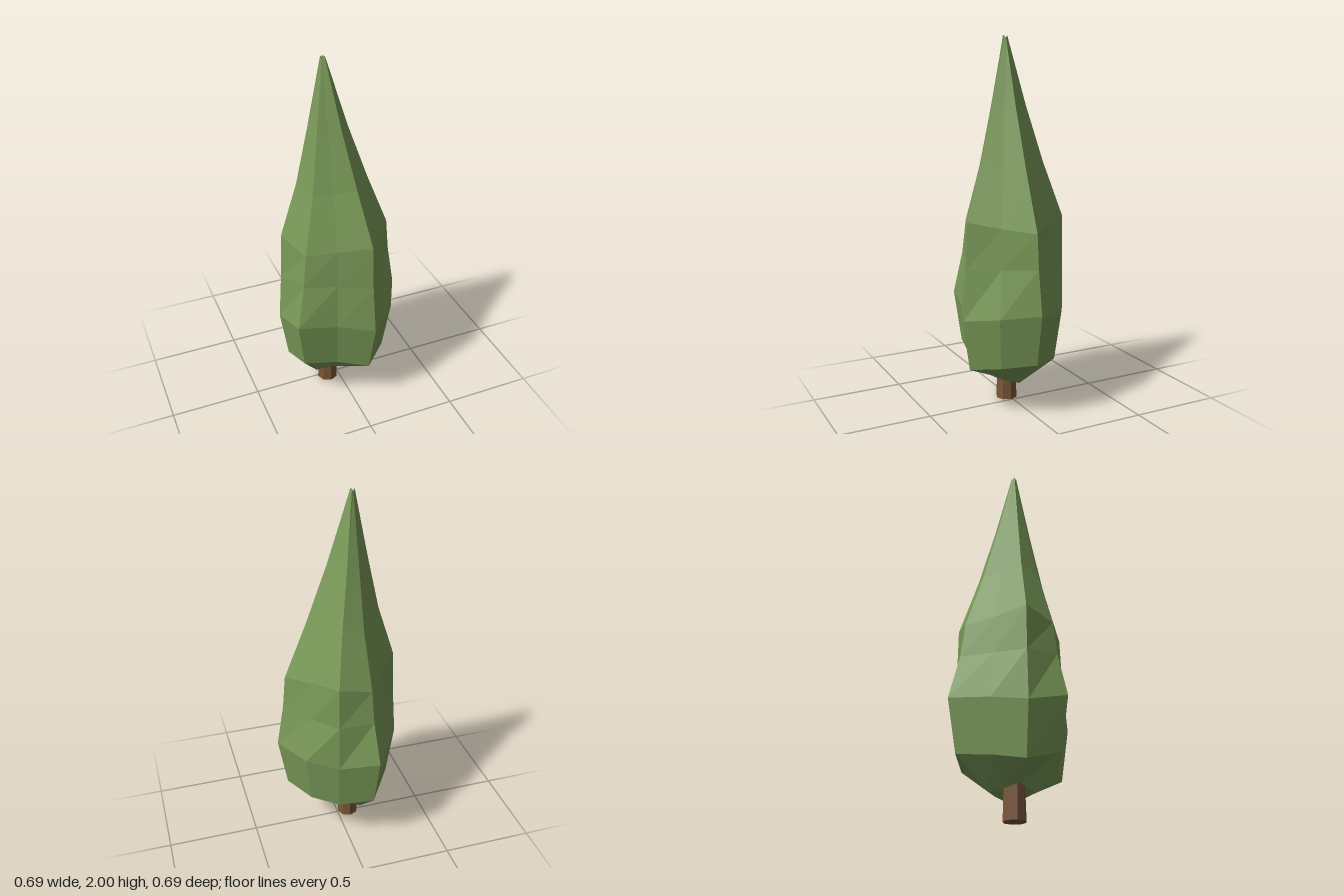
import * as THREE from 'three';

// Relative reach of each side of the crown, from +x turning towards +z
const LOW = [1.14, 1.02, 1.09, 0.83, 1.12, 1.02, 0.89, 1.17, 0.92, 0.97];
const HIGH = [1.15, 0.91, 1.15, 0.85, 1.02, 1.11, 0.85, 1.06, 1.07, 0.87];
// Height shift of each side; every ring scales it up, down or reversed
const SHIFT = [0.02, 0, -0.03, 0, 0.02, -0.03, 0, 0.02, -0.02, 0];
const SIDES = LOW.length;

// Crown profile: height, centre x, mean radius, blend from LOW to HIGH, shift scale
const RINGS = [
  [0.145, -0.05, 0.125, 0, -0.7],
  [0.28, -0.02, 0.277, 0, 1],
  [0.56, -0.02, 0.32, 0, 1],
  [0.81, -0.02, 0.285, 0.7, 0.3],
  [1.02, -0.02, 0.27, 1, -1],
  [1.32, -0.033, 0.175, 1, -0.7],
  [1.63, -0.055, 0.095, 1, -0.5],
  [1.99, -0.075, 0.012, 1, -0.33],
];

function ringPoint([y, cx, radius, blend, shift], side) {
  const k = side % SIDES;
  const angle = (k / SIDES) * Math.PI * 2;
  const r = radius * THREE.MathUtils.lerp(LOW[k], HIGH[k], blend);
  return [cx + r * Math.cos(angle), y + shift * SHIFT[k], 0.01 + r * Math.sin(angle)];
}

// Lofts the uneven rings into one faceted, closed crown
function foliageGeometry() {
  const positions = [];
  const tri = (...corners) => positions.push(...corners.flat());
  const under = [-0.065, 0.21, 0.01];
  const tip = [-0.075, 1.985, 0.01];
  for (let j = 0; j < SIDES; j++) {
    for (let i = 0; i < RINGS.length - 1; i++) {
      const a = ringPoint(RINGS[i], j), b = ringPoint(RINGS[i], j + 1);
      const c = ringPoint(RINGS[i + 1], j), d = ringPoint(RINGS[i + 1], j + 1);
      tri(a, c, b);
      tri(b, c, d);
    }
    // hollow underside around the trunk, and the tip
    tri(under, ringPoint(RINGS[0], j), ringPoint(RINGS[0], j + 1));
    tri(tip, ringPoint(RINGS.at(-1), j + 1), ringPoint(RINGS.at(-1), j));
  }
  const geometry = new THREE.BufferGeometry();
  geometry.setAttribute('position', new THREE.Float32BufferAttribute(positions, 3));
  geometry.computeVertexNormals();
  return geometry;
}

export function createModel() {
  const tree = new THREE.Group();
  tree.name = 'tree';

  const foliage = new THREE.Mesh(
    foliageGeometry(),
    new THREE.MeshStandardMaterial({ color: 0x7a9a58, flatShading: true })
  );
  foliage.name = 'foliage';

  // Short, slightly tapered trunk
  const trunk = new THREE.Mesh(
    new THREE.CylinderGeometry(0.05, 0.06, 0.3, 8),
    new THREE.MeshStandardMaterial({ color: 0x7a5638, flatShading: true })
  );
  trunk.name = 'trunk';
  trunk.position.set(-0.064, 0.15, 0.01);

  tree.add(foliage, trunk);
  return tree;
}
